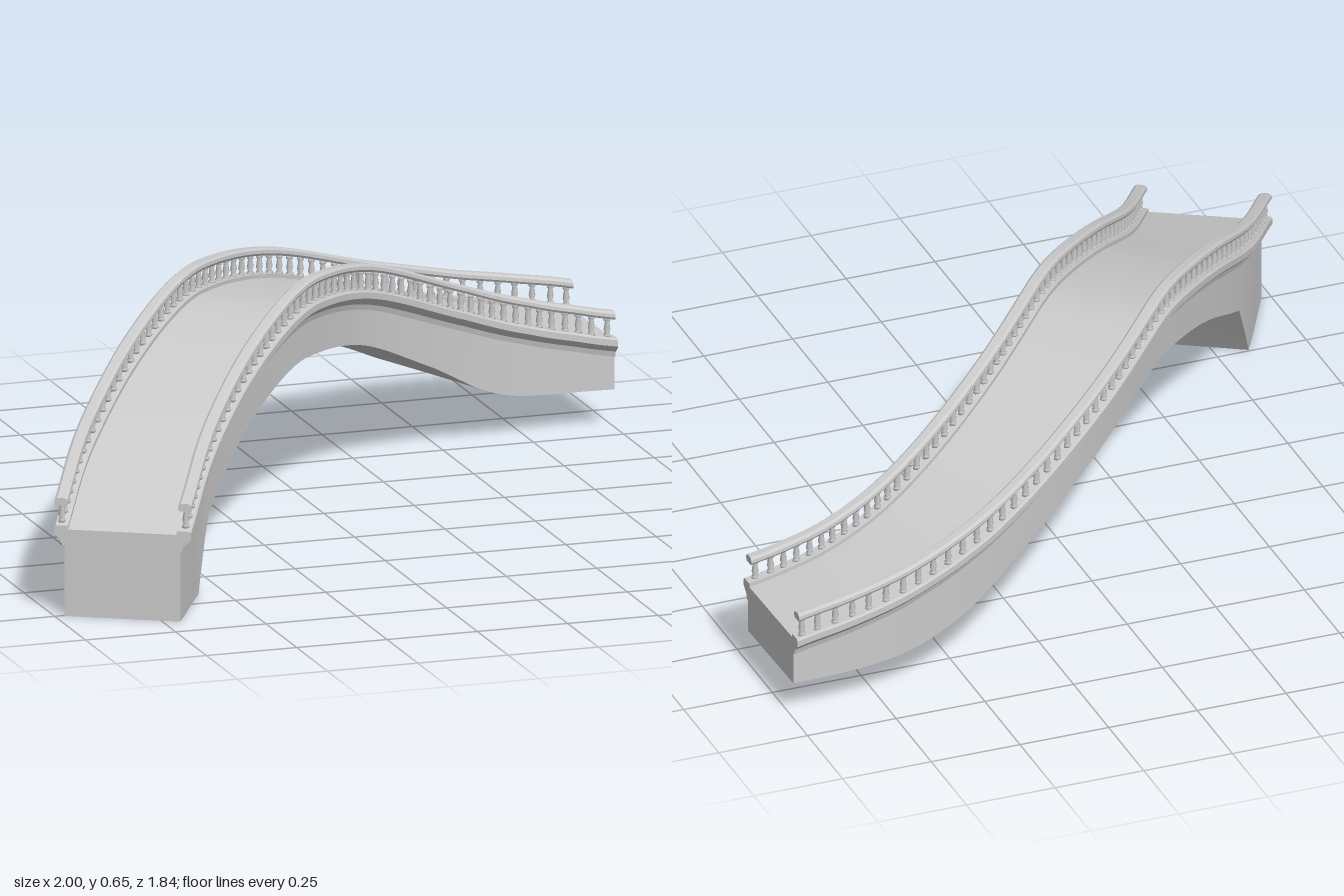
import * as THREE from 'three';
import { mergeGeometries, toCreasedNormals } from 'three/addons/utils/BufferGeometryUtils.js';

// Curved centre line of the bridge in plan
const path = new THREE.CatmullRomCurve3([
  [-0.84, 0.83], [-0.65, 0.495], [-0.255, -0.004], [0.122, -0.406],
  [0.48, -0.635], [0.71, -0.713], [0.87, -0.735], [1, -0.7375],
].map(([x, z]) => new THREE.Vector3(x, 0, z)));
path.arcLengthDivisions = 600;
const LENGTH = 2.53; // nominal length used by the height profiles

// Heights along the length: [distance, y]
const deckProfile = [[0, 0.235], [0.38, 0.365], [0.7, 0.48], [1.0, 0.553], [1.2, 0.563],
  [1.57, 0.505], [2.0, 0.365], [2.24, 0.295], [2.53, 0.235]];
const archProfile = [[0.4, 0.19], [0.72, 0.335], [1.0, 0.41], [1.17, 0.423], [1.54, 0.37],
  [1.86, 0.25], [2.08, 0.15], [2.24, 0.11], [2.53, 0.1]];

// Smooth cubic interpolation through a profile
function smooth(profile, s) {
  const n = profile.length;
  let i = 0;
  while (i < n - 2 && s > profile[i + 1][0]) i++;
  const slope = (k) => {
    const a = profile[Math.max(k - 1, 0)], b = profile[Math.min(k + 1, n - 1)];
    return (b[1] - a[1]) / (b[0] - a[0]);
  };
  const [x0, y0] = profile[i], [x1, y1] = profile[i + 1];
  const h = x1 - x0, t = (s - x0) / h, t2 = t * t, t3 = t2 * t;
  return (2 * t3 - 3 * t2 + 1) * y0 + (t3 - 2 * t2 + t) * h * slope(i)
    + (3 * t2 - 2 * t3) * y1 + (t3 - t2) * h * slope(i + 1);
}

const deckY = (s) => smooth(deckProfile, s);

// Flat pier foot, sloping pier face, then the arch
function bottomY(s) {
  if (s <= 0.28) return 0;
  if (s < 0.4) return 0.19 * (s - 0.28) / 0.12;
  return smooth(archProfile, s);
}

// Point at a distance along the bridge, offset sideways
function place(s, offset, y) {
  const u = THREE.MathUtils.clamp(s / LENGTH, 0, 1);
  const p = path.getPointAt(u), t = path.getTangentAt(u);
  return new THREE.Vector3(p.x - t.z * offset, y, p.z + t.x * offset);
}

// Sweep a counter-clockwise [offset, y] section along the bridge, with end caps
function sweep(section, from, to) {
  const stations = [0.28, 0.4].filter((s) => s > from && s < to);
  for (let i = 0; i <= 90; i++) stations.push(from + (to - from) * i / 90);
  stations.sort((a, b) => a - b);
  const rings = stations.map((s) => section(s).map(([o, y]) => place(s, o, y)));
  const out = [];
  const tri = (a, b, c) => out.push(...a.toArray(), ...b.toArray(), ...c.toArray());
  const n = rings[0].length;
  for (let i = 0; i < rings.length - 1; i++) {
    for (let j = 0; j < n; j++) {
      const k = (j + 1) % n;
      tri(rings[i][j], rings[i + 1][j], rings[i + 1][k]);
      tri(rings[i][j], rings[i + 1][k], rings[i][k]);
    }
  }
  const cap = (s, ring, flip) => {
    const flat = section(s).map(([o, y]) => new THREE.Vector2(o, y));
    for (const [a, b, c] of THREE.ShapeUtils.triangulateShape(flat, [])) {
      if (flip) tri(ring[a], ring[c], ring[b]);
      else tri(ring[a], ring[b], ring[c]);
    }
  };
  cap(from, rings[0], false);
  cap(to, rings[rings.length - 1], true);
  const geometry = new THREE.BufferGeometry();
  geometry.setAttribute('position', new THREE.Float32BufferAttribute(out, 3));
  return toCreasedNormals(geometry, 0.5);
}

export function createModel() {
  const group = new THREE.Group();
  const stone = new THREE.MeshStandardMaterial({ color: 0xcccccc });
  const add = (name, geometry) => {
    const mesh = new THREE.Mesh(geometry, stone);
    mesh.name = name;
    group.add(mesh);
  };

  // Solid arch body with the roadway on top
  add('archBody', sweep((s) => {
    const b = bottomY(s), d = deckY(s);
    return [[-0.155, b], [0.155, b], [0.155, d], [-0.155, d]];
  }, 0, LENGTH));

  // Turned baluster, narrow at the neck
  const baluster = new THREE.LatheGeometry([
    [0, 0], [0.01, 0], [0.01, 0.007], [0.006, 0.011], [0.0095, 0.022],
    [0.006, 0.043], [0.0095, 0.047], [0.0095, 0.056], [0, 0.056],
  ].map(([r, y]) => new THREE.Vector2(r, y)), 8);

  for (const [side, label] of [[1, 'inner'], [-1, 'outer']]) {
    // Mirror a section to the other side, keeping its winding
    const mirrored = (pts) => (side > 0 ? pts : pts.map(([o, y]) => [-o, y]).reverse());

    // Overhanging moulded ledge
    add(label + 'Ledge', sweep((s) => {
      const d = deckY(s);
      return mirrored([[0.145, d - 0.045], [0.16, d - 0.045], [0.164, d - 0.03], [0.176, d - 0.02],
        [0.183, d - 0.012], [0.183, d + 0.005], [0.179, d + 0.01], [0.145, d + 0.01]]);
    }, 0, LENGTH));

    // Rounded handrail
    add(label + 'Handrail', sweep((s) => {
      const y = deckY(s) + 0.06;
      return mirrored([[0.151, y], [0.179, y], [0.183, y + 0.006], [0.182, y + 0.015],
        [0.175, y + 0.021], [0.155, y + 0.021], [0.148, y + 0.015], [0.147, y + 0.006]]);
    }, 0.006, LENGTH - 0.006));

    // Row of balusters
    const row = [];
    const count = 58;
    for (let i = 0; i < count; i++) {
      const s = 0.022 + (LENGTH - 0.044) * i / (count - 1);
      const p = place(s, side * 0.165, deckY(s) + 0.007);
      row.push(baluster.clone().translate(p.x, p.y, p.z));
    }
    add(label + 'Balusters', mergeGeometries(row));
  }
  return group;
}
